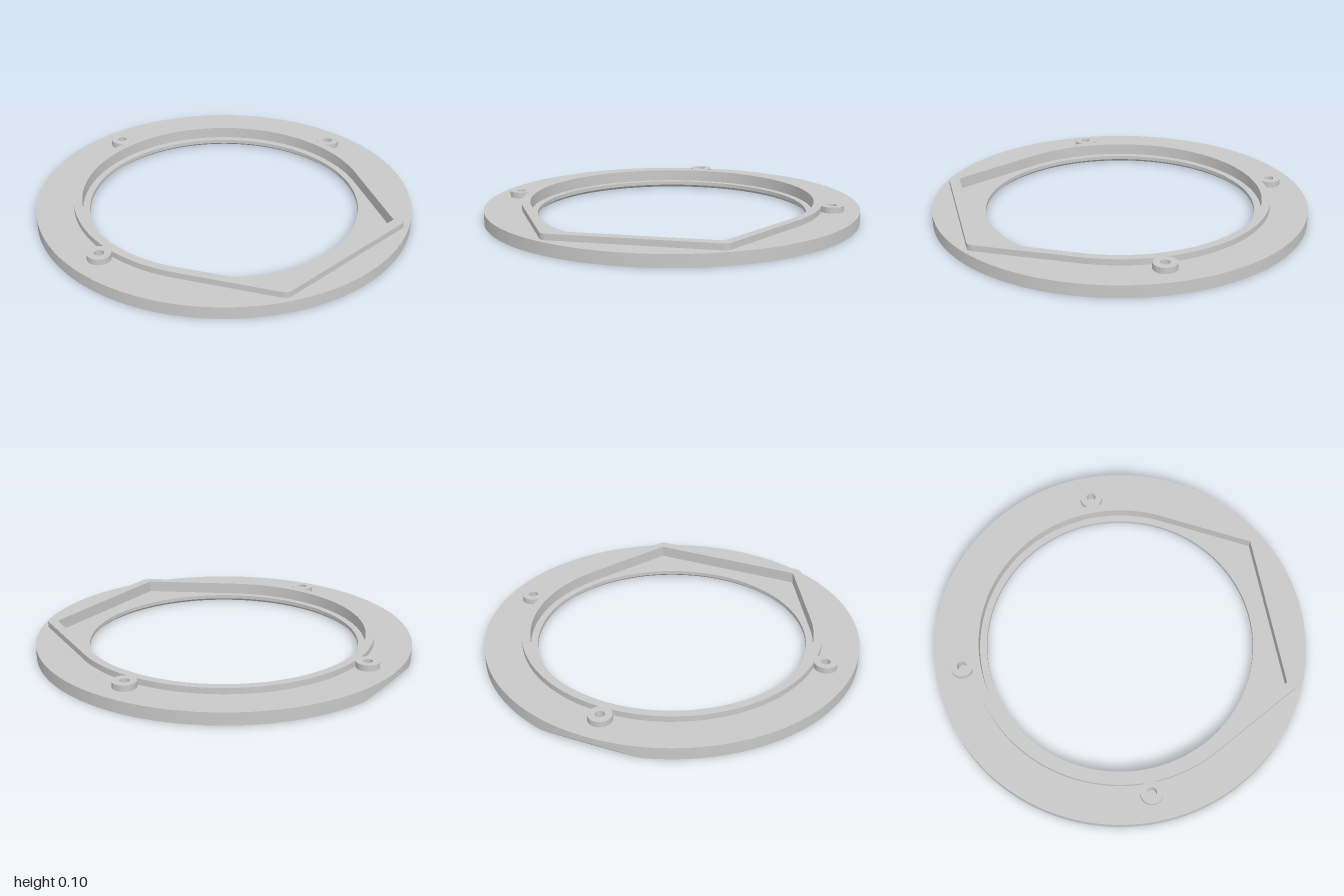
import * as THREE from 'three';
import { toCreasedNormals } from 'three/addons/utils/BufferGeometryUtils.js';

const FLOOR = 0.035, PLATE_TOP = 0.065, RIM_TOP = 0.097;
const INNER_R = 0.757, WALL = 0.045, FRONT_EXTRA = 0.01;
const TANGENT = 0.4977;              // angle where the straight sides leave the circle
const CORNER = [0.417, 0.817];       // inner front corner (x, z)
const BOSSES = [[0.855, 0], [-0.855, 0], [0, -0.855]];
const BOSS_R = 0.061, SCREW_R = 0.025;
const CUT_Z = 0.968;                 // where the slanted back cut meets the underside

function arc(cx, cz, r, from, to, n) {
  return Array.from({ length: n + 1 }, (_, i) => {
    const a = from + (to - from) * i / n;
    return new THREE.Vector2(cx + r * Math.cos(a), cz + r * Math.sin(a));
  });
}

const circle = (cx, cz, r, n) => arc(cx, cz, r, 0, Math.PI * 2, n).slice(0, -1);

// Round chamber with two tangent sides and a straight front: inner line, or outer line of the wall
function chamberOutline(outer) {
  const [cx, cz] = CORNER, PI = Math.PI, frontZ = cz + FRONT_EXTRA;
  const body = arc(0, 0, INNER_R + (outer ? WALL : 0), -PI - TANGENT, TANGENT, 120);
  if (!outer) return [...body, new THREE.Vector2(cx, cz), new THREE.Vector2(-cx, cz)];
  return [
    ...body,
    ...arc(cx, frontZ, WALL, TANGENT, PI / 2, 6),
    ...arc(-cx, frontZ, WALL, PI / 2, PI - TANGENT, 6),
  ];
}

// Extrudes a plan (x, z) between two heights
function slab(outline, holes, bottom, top) {
  const shape = new THREE.Shape(outline);
  shape.holes = holes.map((h) => new THREE.Path(h));
  const geo = new THREE.ExtrudeGeometry(shape, { depth: top - bottom, bevelEnabled: false });
  geo.rotateX(Math.PI / 2).translate(0, top, 0);
  return toCreasedNormals(geo, 0.4);
}

// Lower ring: chamfered bore below, and a flat slanted cut at the back edge
function lowerRing() {
  const cutRow = 4;
  const profile = [
    [0.72, FLOOR], [0.72, 0.015], [0.738, 0], [1, 0], [1, 0.02], [1, FLOOR], [0.72, FLOOR],
  ].map(([r, y]) => new THREE.Vector2(r, y));
  const geo = new THREE.LatheGeometry(profile, 240);
  const p = geo.attributes.position;
  for (let i = 0; i < p.count; i++) {
    const row = i % profile.length;
    // the cut row follows the upper edge of the slanted cut
    if (row === cutRow) p.setY(i, Math.max(0, -p.getZ(i) - CUT_Z));
    if (row === cutRow - 1) p.setZ(i, Math.max(p.getZ(i), -CUT_Z));
  }
  return toCreasedNormals(geo, 0.4);
}

export function createModel() {
  const group = new THREE.Group();
  const grey = new THREE.MeshStandardMaterial({ color: 0xc8c8c8 });
  grey.name = 'grey';
  const add = (name, geo) => {
    const mesh = new THREE.Mesh(geo, grey);
    mesh.name = name;
    group.add(mesh);
  };

  const chamber = chamberOutline(false);
  const screwHoles = BOSSES.map(([x, z]) => circle(x, z, SCREW_R, 24));

  add('lowerRing', lowerRing());
  add('upperRing', slab(circle(0, 0, 1, 240), [chamber, ...screwHoles], FLOOR, PLATE_TOP));
  add('raisedRim', slab(chamberOutline(true), [chamber], PLATE_TOP, RIM_TOP));

  // Screw bosses at both sides and the back
  BOSSES.forEach(([x, z], i) => {
    add('screwBoss' + (i + 1), slab(circle(x, z, BOSS_R, 40), [screwHoles[i]], PLATE_TOP, RIM_TOP));
  });
  return group;
}
